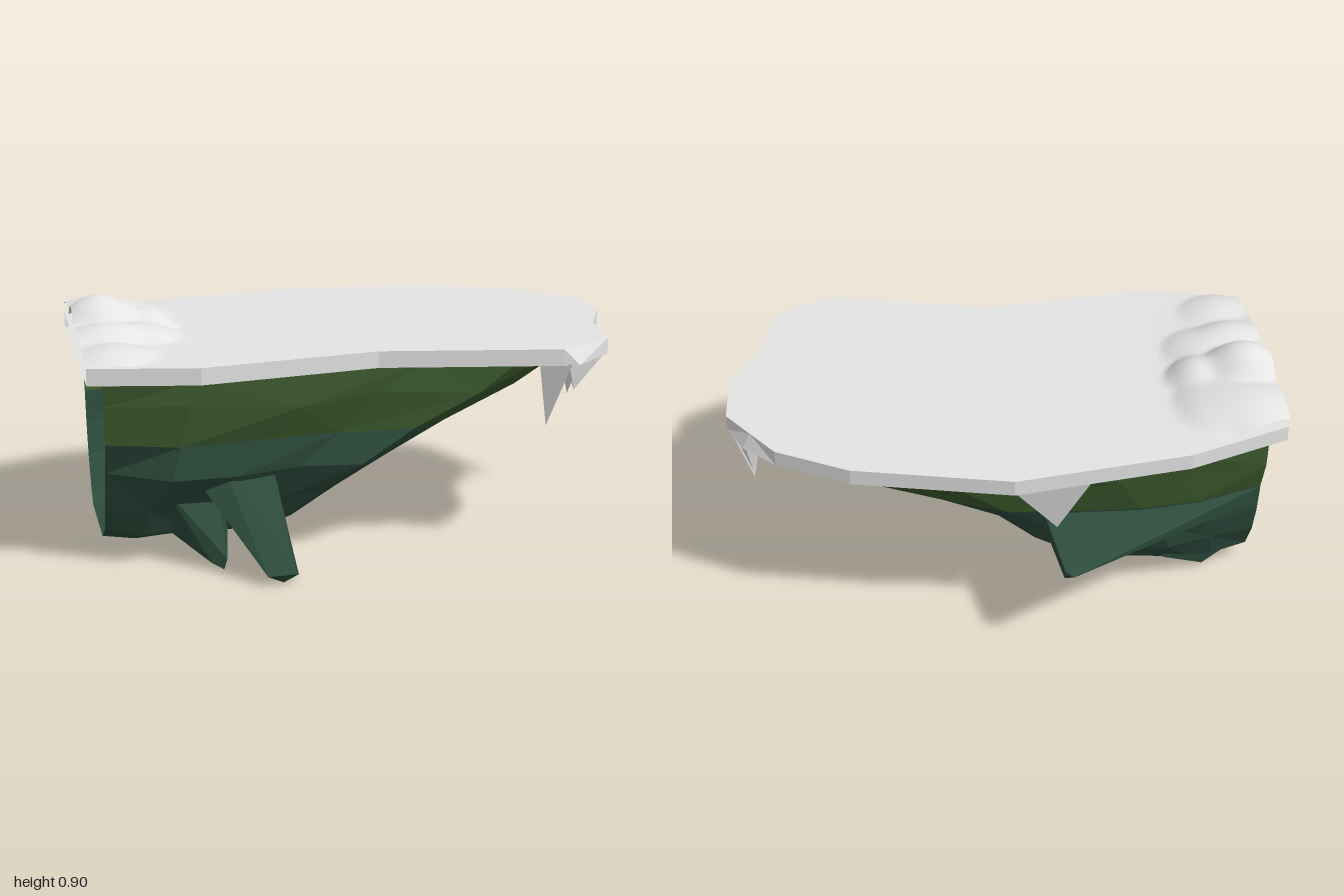
import * as THREE from 'three';
import { ConvexGeometry } from 'three/addons/geometries/ConvexGeometry.js';

const V = (x, y, z) => new THREE.Vector3(x, y, z);

// Faceted skin through rings listed from top to bottom, open at the flat end (the last side)
function loft(rings, { capTop = false, capBottom = false }) {
  const pts = [], n = rings[0].length;
  const centre = r => r.reduce((s, p) => s.add(p), V(0, 0, 0)).divideScalar(n);
  const top = rings[0], bottom = rings[rings.length - 1];
  const ct = centre(top), cb = centre(bottom);
  for (let i = 0; i < n; i++) {
    const j = (i + 1) % n;
    for (let k = 0; j > 0 && k < rings.length - 1; k++) {
      const a = rings[k], b = rings[k + 1];
      // alternate the diagonals for a craggy look
      if ((i + k) % 2) pts.push(a[i], a[j], b[j], a[i], b[j], b[i]);
      else pts.push(a[i], a[j], b[i], a[j], b[j], b[i]);
    }
    if (capTop) pts.push(ct, top[j], top[i]);
    if (capBottom) pts.push(cb, bottom[i], bottom[j]);
  }
  const g = new THREE.BufferGeometry().setFromPoints(pts);
  g.computeVertexNormals();
  return g;
}

export function createModel() {
  const group = new THREE.Group();
  const material = (name, color) => Object.assign(
    new THREE.MeshStandardMaterial({ color, side: THREE.DoubleSide }), { name });
  const snow = material('snow', 0xe4e4e4);
  const moss = material('mossGreen', 0x3b592d);
  const rock = material('darkGreenRock', 0x2d4c3d);
  const add = (name, geometry, mat) => {
    const mesh = new THREE.Mesh(geometry, mat);
    mesh.name = name;
    group.add(mesh);
  };
  const hull = list => new ConvexGeometry(list.map(p => V(...p)));

  // Snow slab: the lower edge bulges at two corners
  const outline = [[-1, -0.36], [-0.63, -0.5], [0, -0.6], [0.56, -0.49], [0.82, -0.36], [0.91, -0.245],
    [1, -0.13], [1, 0.09], [0.89, 0.31], [0.85, 0.54], [0.75, 0.605], [0.63, 0.67], [0, 0.54], [-0.63, 0.62], [-1, 0.54]];
  const lower = outline.map(p => [...p]);
  lower[5] = [0.94, -0.25];
  lower[10] = [0.69, 0.675];
  add('snowSlab', loft([outline.map(([x, z]) => V(x, 0.767, z)), lower.map(([x, z]) => V(x, 0.708, z))],
    { capTop: true, capBottom: true }), snow);

  // Snow drifts: soft bumps [x, z, height, radiusX, radiusZ] blended on a low bank
  const bumps = [[-0.9, -0.02, 0.13, 0.18, 0.16], [-0.9, 0.2, 0.07, 0.18, 0.14], [-0.9, -0.25, 0.07, 0.21, 0.2],
    [-0.73, -0.03, 0.073, 0.12, 0.13], [-0.89, 0.41, 0.04, 0.16, 0.15], [-0.79, 0.14, 0.05, 0.17, 0.18],
    [-0.79, -0.2, 0.055, 0.18, 0.22]];
  const drifts = new THREE.PlaneGeometry(1, 1, 24, 60).rotateX(-Math.PI / 2);
  const pos = drifts.attributes.position;
  for (let i = 0; i < pos.count; i++) {
    const u = pos.getX(i) + 0.5, v = pos.getZ(i) + 0.5;
    const x = -1 + 0.5 * u;
    const z = THREE.MathUtils.lerp(-0.36 - 0.16 * u, 0.54 + 0.06 * u, v);
    let sum = (0.045 * (1 - u) ** 2 * Math.sin(Math.PI * v)) ** 4;
    for (const [bx, bz, bh, rx, rz] of bumps) {
      const d = ((x - bx) / rx) ** 2 + ((z - bz) / rz) ** 2;
      if (d < 1) sum += (bh * (1 - d)) ** 4;
    }
    pos.setXYZ(i, x, 0.769 + sum ** 0.25, z);
  }
  drifts.computeVertexNormals();
  add('snowDrifts', drifts, snow);

  // Icicles: three corners under the slab and a tip
  const icicles = [
    [[0.55, 0.65], [0.66, 0.675], [0.62, 0.55], [0.605, 0.47, 0.585]],
    [[0.65, 0.67], [0.84, 0.54], [0.68, 0.53], [0.7, 0.6, 0.6]],
    [[0.93, 0.2], [0.97, 0.06], [0.83, 0.13], [0.86, 0.46, 0.085]],
    [[0.995, 0.09], [0.995, -0.13], [0.87, -0.02], [0.935, 0.405, -0.02]],
    [[0.99, -0.12], [0.93, -0.25], [0.86, -0.17], [0.92, 0.56, -0.18]],
    [[-0.27, -0.555], [0, -0.59], [-0.13, -0.45], [-0.16, 0.485, -0.51]],
  ];
  for (const [a, b, c, tip] of icicles) {
    add('icicle', hull([...[a, b, c].map(([x, z]) => [x, 0.712, z]), tip]), snow);
  }

  // Rock body: one outline squeezed level by level, [y, xMax, zFront, zBack, zFront at the flat end]
  const shape = [[0, -0.75], [0.18, -0.93], [0.34, -1], [0.52, -1], [0.7, -0.96], [0.87, -0.75], [0.97, -0.36],
    [1, 0.1], [0.97, 0.5], [0.9, 0.8], [0.8, 0.95], [0.6, 0.92], [0.4, 0.95], [0.18, 1], [0, 1]];
  let seed = 7;
  const jitter = a => {
    seed = (seed * 16807) % 2147483647;
    return (seed / 2147483647 - 0.5) * a;
  };
  const ring = ([y, xMax, zFront, zBack, zEnd], wobble) => shape.map(([u, w]) => {
    const front = THREE.MathUtils.lerp(zEnd, w * zFront, Math.min(1, u / 0.18));
    return V(-0.94 + u * (xMax + 0.94) + (u ? jitter(wobble) : 0),
      y + jitter(wobble), (w > 0 ? front : -w * zBack) + jitter(wobble));
  });
  const seamRing = ring([0.47, 0.41, 0.53, -0.41, 0.46], 0.01);
  add('mossyRockBand', loft([
    ring([0.71, 0.92, 0.545, -0.46, 0.46], 0),
    ring([0.6, 0.69, 0.545, -0.44, 0.46], 0.035),
    seamRing], {}), moss);
  add('rockUnderside', loft([seamRing,
    ring([0.35, 0.18, 0.53, -0.38, 0.42], 0.025),
    ring([0.22, 0, 0.43, -0.33, 0.37], 0.035),
    ring([0.11, -0.17, 0.35, -0.26, 0.3], 0.025),
    ring([0.055, -0.32, 0.25, -0.2, 0.2], 0.012)], { capBottom: true }), rock);

  // Jutting crags: two at the front, one long ledge at the back, one under the base
  const crags = {
    frontCrag: [[-0.64, 0.34, 0.43], [-0.55, 0.41, 0.44], [-0.36, 0.35, 0.47], [-0.5, 0.3, 0.49], [-0.32, 0.13, 0.35],
      [-0.5, 0.13, 0.33], [-0.43, 0.04, 0.7], [-0.33, 0.04, 0.7], [-0.31, 0.015, 0.64], [-0.37, 0.003, 0.67]],
    smallFrontCrag: [[-0.73, 0.28, 0.41], [-0.55, 0.25, 0.41], [-0.72, 0.1, 0.31], [-0.5, 0.1, 0.31],
      [-0.59, 0.03, 0.5], [-0.54, 0.05, 0.525], [-0.55, 0.01, 0.52]],
    backCrag: [[-0.93, 0.46, -0.31], [-0.93, 0.39, -0.3], [-0.12, 0.47, -0.37], [-0.14, 0.33, -0.34], [-0.55, 0.33, -0.32],
      [-0.48, 0.42, -0.525], [-0.16, 0.44, -0.59], [-0.17, 0.43, -0.69], [-0.17, 0.385, -0.67], [-0.2, 0.41, -0.7]],
    baseCrag: [[-0.9, 0.12, -0.2], [-0.6, 0.12, -0.28], [-0.6, 0.07, -0.05], [-0.88, 0.07, -0.05],
      [-0.77, 0.02, -0.21], [-0.7, 0.03, -0.17]],
  };
  for (const [name, points] of Object.entries(crags)) add(name, hull(points), rock);

  return group;
}
